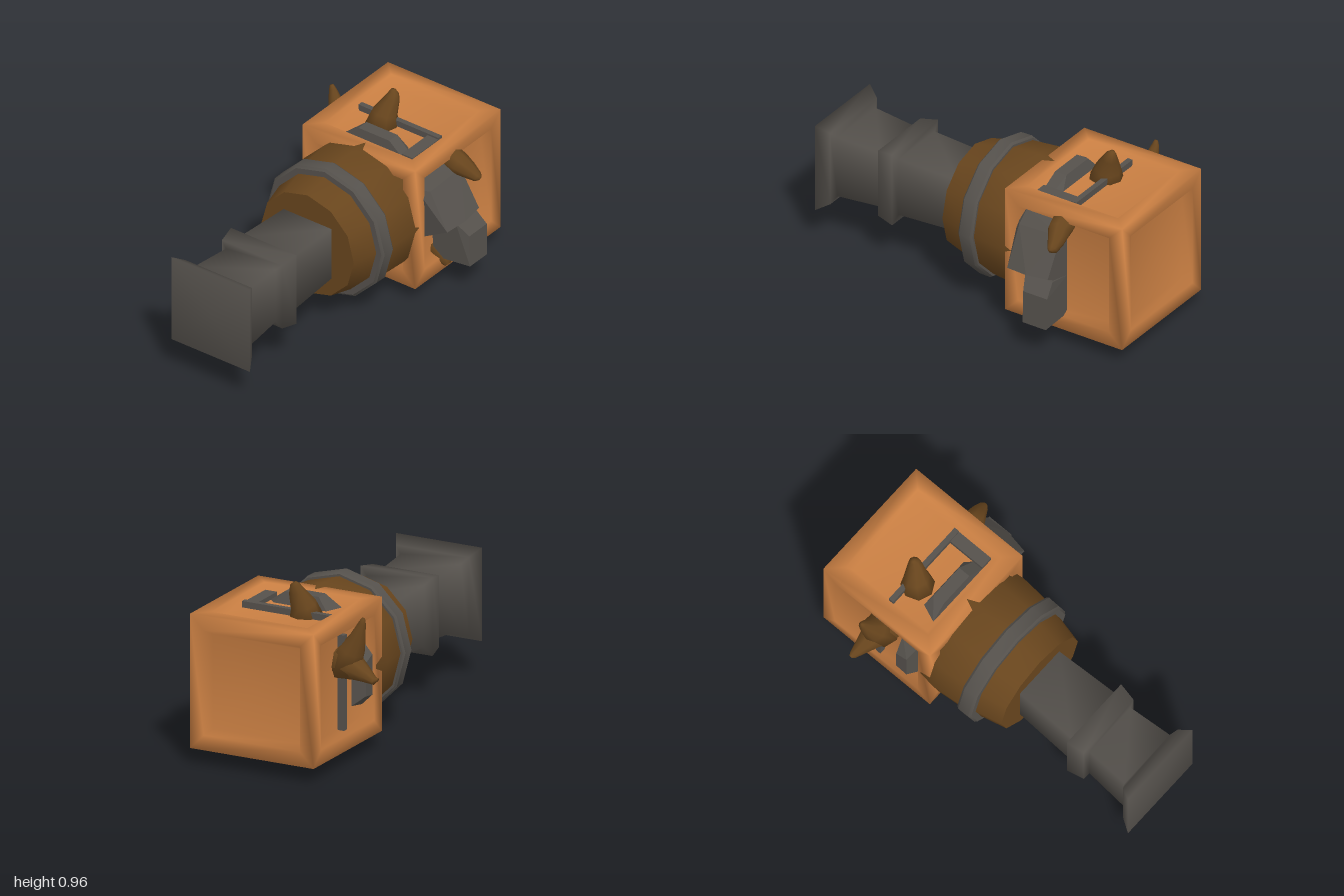
import * as THREE from 'three';
import { mergeGeometries, mergeVertices, toCreasedNormals } from 'three/addons/utils/BufferGeometryUtils.js';
import { ConvexGeometry } from 'three/addons/geometries/ConvexGeometry.js';

const CY = 0.455; // height of the long axis

// Loft through [x, y, z, radius] sections, with shared vertices for smooth shading
function loft(sections, sides, { phase = 0, axis = null, startCap = true } = {}) {
  const centres = sections.map(([x, y, z]) => new THREE.Vector3(x, y, z));
  const d = axis || centres.at(-1).clone().sub(centres[0]).normalize();
  const ref = Math.abs(d.y) > 0.7 ? new THREE.Vector3(0, 0, 1) : new THREE.Vector3(0, 1, 0);
  const u = ref.cross(d).normalize();
  const v = d.clone().cross(u);
  const pos = [], idx = [];
  sections.forEach((s, i) => {
    for (let j = 0; j < sides; j++) {
      const a = phase + (j / sides) * Math.PI * 2;
      pos.push(...centres[i].clone()
        .addScaledVector(u, s[3] * Math.cos(a)).addScaledVector(v, s[3] * Math.sin(a)).toArray());
    }
  });
  const last = sections.length - 1;
  const c0 = pos.length / 3, c1 = c0 + 1;
  pos.push(...centres[0].toArray(), ...centres[last].toArray());
  for (let j = 0; j < sides; j++) {
    const k = (j + 1) % sides;
    for (let i = 0; i < last; i++) {
      const a = i * sides + j, b = i * sides + k;
      idx.push(a, b, b + sides, a, b + sides, a + sides);
    }
    if (startCap) idx.push(c0, k, j);
    idx.push(c1, last * sides + j, last * sides + k);
  }
  const g = new THREE.BufferGeometry();
  g.setAttribute('position', new THREE.Float32BufferAttribute(pos, 3));
  g.setIndex(idx);
  g.computeVertexNormals();
  return g;
}

// Cube whose six faces have a raised frame and a sunken panel
function crateGeometry() {
  const q = Math.SQRT2, H = 0.366;
  const face = loft([[0, 0, H, H * q], [0, 0, H, 0.285 * q], [0, 0, 0.315, 0.257 * q]], 4,
    { phase: Math.PI / 4, axis: new THREE.Vector3(0, 0, 1), startCap: false });
  const faces = [0, 1, 2, 3].map(i => face.clone().rotateY(i * Math.PI / 2));
  faces.push(face.clone().rotateX(Math.PI / 2), face.clone().rotateX(-Math.PI / 2));
  faces.forEach(f => f.deleteAttribute('normal'));
  const g = mergeVertices(mergeGeometries(faces), 1e-4);
  g.computeVertexNormals();
  return g;
}

export function createModel() {
  const model = new THREE.Group();
  const wood = new THREE.MeshStandardMaterial({ name: 'orange wood', color: 0xc87e42 });
  const iron = new THREE.MeshStandardMaterial({ name: 'dark grey iron', color: 0x55514c });
  const horn = new THREE.MeshStandardMaterial({ name: 'dark brown', color: 0x68451d });

  const add = (name, geometry, material) => {
    const m = new THREE.Mesh(geometry, material);
    m.name = name;
    model.add(m);
    return m;
  };
  const bar = (name, x, y, z, w, h, d) =>
    add(name, new THREE.BoxGeometry(w, h, d), iron).position.set(x, y, z);
  const slab = (name, pts) =>
    add(name, new ConvexGeometry(pts.map(p => new THREE.Vector3(...p))), iron);
  const spike = (name, sections) => add(name, loft(sections, 8), horn);
  const along = profile => profile.map(([z, r]) => [0, CY, z, r]);

  // Framed block at the back
  add('framedBlock', crateGeometry(), wood).position.set(0.003, CY, -0.634);

  // Twelve-sided collar with its iron hoop
  const crease = g => toCreasedNormals(g, 0.65);
  add('collar', crease(loft(along(
    [[-0.33, 0.366], [-0.23, 0.378], [-0.06, 0.362], [0.02, 0.338], [0.17, 0.302]]), 12)), horn);
  add('hoop', crease(loft(along(
    [[-0.068, 0.375], [-0.055, 0.385], [0.012, 0.383], [0.024, 0.37]]), 12)), iron);

  // Square stem with a middle flange and a flared end
  const stem = [[0.1, 0.153], [0.17, 0.155], [0.535, 0.168], [0.545, 0.213], [0.645, 0.196],
    [0.655, 0.162], [0.91, 0.178], [0.93, 0.215], [1, 0.255]];
  add('stem', loft(along(stem.map(([z, h]) => [z, h * Math.SQRT2])), 4, { phase: Math.PI / 4 }), iron);

  // Horns breaking out of the four sides
  spike('topHorn', [[-0.09, 0.74, -0.59, 0.1], [-0.085, 0.83, -0.605, 0.07],
    [-0.06, 0.91, -0.635, 0.042], [-0.055, 0.945, -0.645, 0.027], [-0.06, 0.96, -0.65, 0.012]]);
  spike('bottomHorn', [[-0.05, 0.17, -0.58, 0.09], [-0.075, 0.09, -0.6, 0.07],
    [-0.13, 0.04, -0.63, 0.045], [-0.18, 0.025, -0.65, 0.028], [-0.205, 0.03, -0.655, 0.014]]);
  spike('rightUpperHorn', [[-0.33, 0.54, -0.62, 0.1], [-0.39, 0.64, -0.63, 0.068],
    [-0.425, 0.71, -0.64, 0.045], [-0.458, 0.8, -0.65, 0.02], [-0.465, 0.825, -0.65, 0.01]]);
  spike('rightLowerHorn', [[-0.3, 0.56, -0.62, 0.1], [-0.4, 0.545, -0.63, 0.072],
    [-0.47, 0.52, -0.64, 0.045], [-0.53, 0.495, -0.65, 0.022], [-0.55, 0.505, -0.65, 0.01]]);
  spike('leftHorn', [[0.3, 0.73, -0.61, 0.07], [0.39, 0.695, -0.62, 0.062],
    [0.44, 0.665, -0.635, 0.047], [0.49, 0.637, -0.645, 0.028], [0.507, 0.635, -0.645, 0.012]]);
  spike('leftLowerHorn', [[0.3, 0.22, -0.52, 0.06], [0.37, 0.16, -0.52, 0.045],
    [0.395, 0.125, -0.515, 0.018]]);

  // Bent iron plates on the left side
  slab('leftUpperPlate', [
    [0.33, 0.66, -0.33], [0.33, 0.72, -0.38], [0.33, 0.72, -0.63],
    [0.39, 0.65, -0.37], [0.39, 0.66, -0.63], [0.52, 0.45, -0.5], [0.51, 0.46, -0.63],
    [0.5, 0.44, -0.37], [0.33, 0.34, -0.38], [0.33, 0.36, -0.63]]);
  slab('leftLowerPlate', [
    [0.48, 0.435, -0.47], [0.48, 0.435, -0.64], [0.545, 0.365, -0.5], [0.545, 0.365, -0.65],
    [0.55, 0.18, -0.5], [0.55, 0.18, -0.645], [0.33, 0.17, -0.48], [0.33, 0.17, -0.63],
    [0.33, 0.4, -0.46], [0.33, 0.4, -0.63]]);

  // Iron strips and slabs lying in the sunken panels
  bar('topCrossBar', 0, 0.785, -0.625, 0.52, 0.04, 0.03);
  bar('topSideBar', 0.225, 0.78, -0.505, 0.07, 0.03, 0.23);
  bar('bottomCrossBar', 0, 0.125, -0.625, 0.52, 0.04, 0.03);
  bar('bottomSideBar', 0.225, 0.1, -0.5, 0.08, 0.05, 0.2);
  bar('rightUprightBar', -0.33, 0.455, -0.635, 0.04, 0.52, 0.03);
  for (const [name, top, edge] of [['topSlab', 0.835, 0.765], ['bottomSlab', 0.085, 0.145]]) {
    slab(name, [[-0.2, edge, -0.39], [0.2, edge, -0.39], [-0.16, edge, -0.49], [0.2, edge, -0.45],
      [0.16, edge, -0.49], [-0.1, top, -0.4], [0.1, top, -0.4], [-0.1, top, -0.47], [0.1, top, -0.47]]);
  }
  slab('rightSlab', [[-0.31, 0.62, -0.39], [-0.31, 0.26, -0.39], [-0.31, 0.6, -0.5], [-0.31, 0.28, -0.5],
    [-0.385, 0.55, -0.41], [-0.385, 0.33, -0.41], [-0.385, 0.52, -0.48], [-0.385, 0.34, -0.48]]);

  return model;
}
